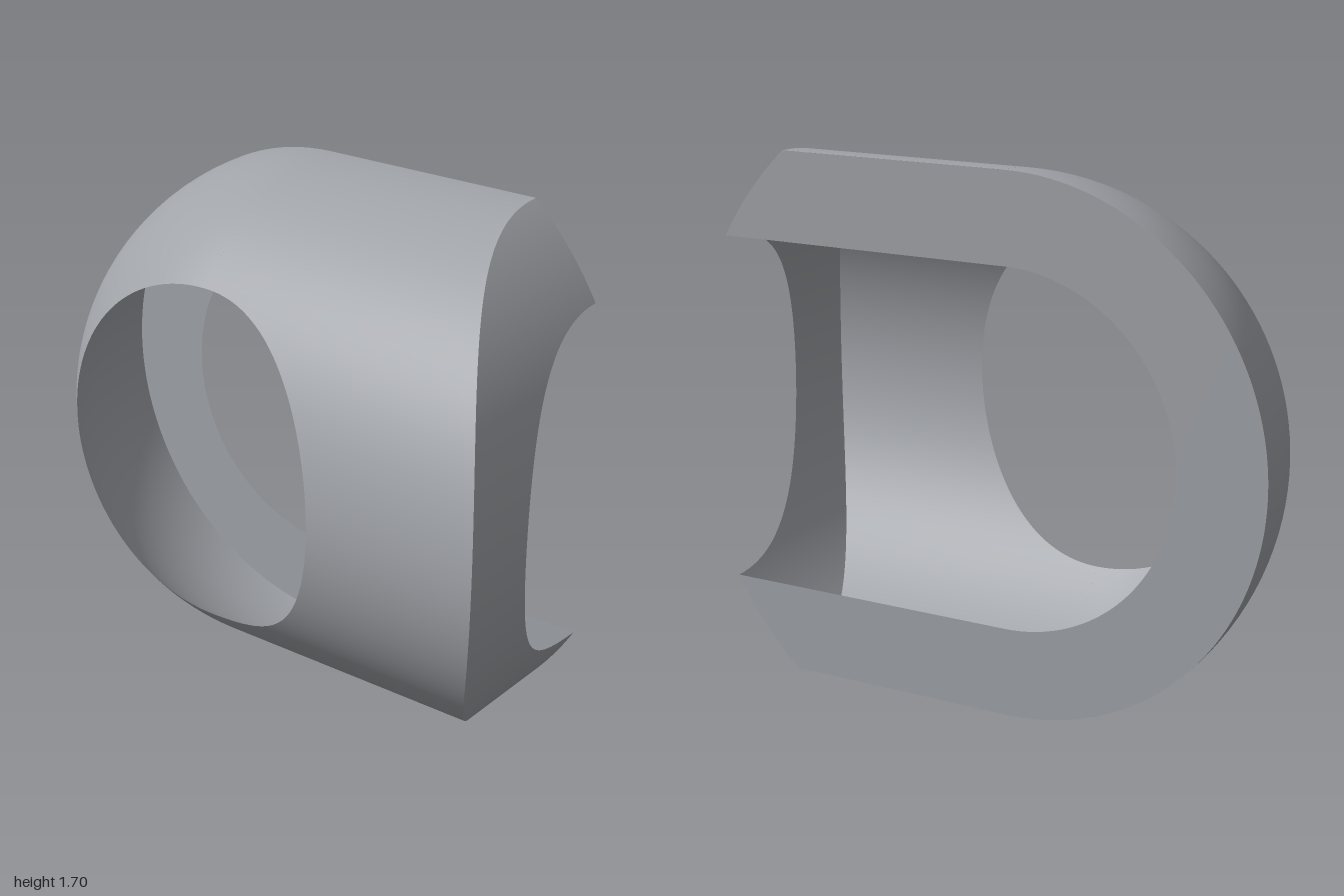
import * as THREE from 'three';
import { ParametricGeometry } from 'three/addons/geometries/ParametricGeometry.js';

const R = 0.85;    // outer shell radius
const r = 0.566;   // round opening radius
const L = 1.15;    // radius of the curved open end
const { sin, cos, asin, sqrt, max, PI } = Math;

export function createModel() {
  const group = new THREE.Group();
  group.name = 'halfShellFitting';
  const grey = new THREE.MeshStandardMaterial({ color: 0xa0a3a8, side: THREE.DoubleSide });
  grey.name = 'plain grey';

  const add = (name, geometry) => {
    const mesh = new THREE.Mesh(geometry, grey);
    mesh.name = name;
    group.add(mesh);
  };
  const patch = (name, nu, nv, fn) =>
    add(name, new ParametricGeometry((a, b, p) => p.set(...fn(a, b)), nu, nv));
  const root = (s, v) => sqrt(max(0, s * s - v * v));

  // Rounded end: quarter sphere, trimmed by the round opening
  const t0 = asin(r / R);
  patch('roundedEnd', 24, 64, (a, b) => {
    const t = t0 + a * (PI / 2 - t0), q = PI / 2 + b * PI;
    return [R * sin(t) * cos(q), R * sin(t) * sin(q), R * cos(t)];
  });

  // Height strips: below, beside and above the opening
  const tip = 0.9995 * PI / 2;
  const strips = [
    ['lower', 20, k => R * sin(-tip + k * (tip - t0))],
    ['middle', 64, k => r * sin((k - 0.5) * PI)],
    ['upper', 20, k => R * sin(t0 + k * (tip - t0))],
  ];
  for (const [name, n, height] of strips) {
    // Half-round wall running from the opening to the curved end
    patch(name + 'Wall', 12, n, (a, b) => {
      const v = height(b), start = root(r, v);
      return [start + a * (root(L, v) - start), v, root(R, v)];
    });
    // Curved end band
    patch(name + 'EndBand', n, 8, (a, b) => {
      const v = height(a), inner = root(r, v);
      return [root(L, v), v, inner + b * (root(R, v) - inner)];
    });
  }

  // Flat U-shaped back face, drawn mirrored and turned to face backwards
  const s = new THREE.Shape();
  s.moveTo(-root(L, R), R);
  s.absarc(0, 0, R, PI / 2, -PI / 2, true);
  s.absarc(0, 0, L, PI + asin(R / L), PI + asin(r / L), true);
  s.absarc(0, 0, r, -PI / 2, PI / 2, false);
  s.absarc(0, 0, L, PI - asin(r / L), PI - asin(R / L), true);
  add('backFace', new THREE.ShapeGeometry(s, 64).rotateY(PI));

  group.children.forEach(m => m.geometry.translate(-0.15, R, -0.425));
  return group;
}
